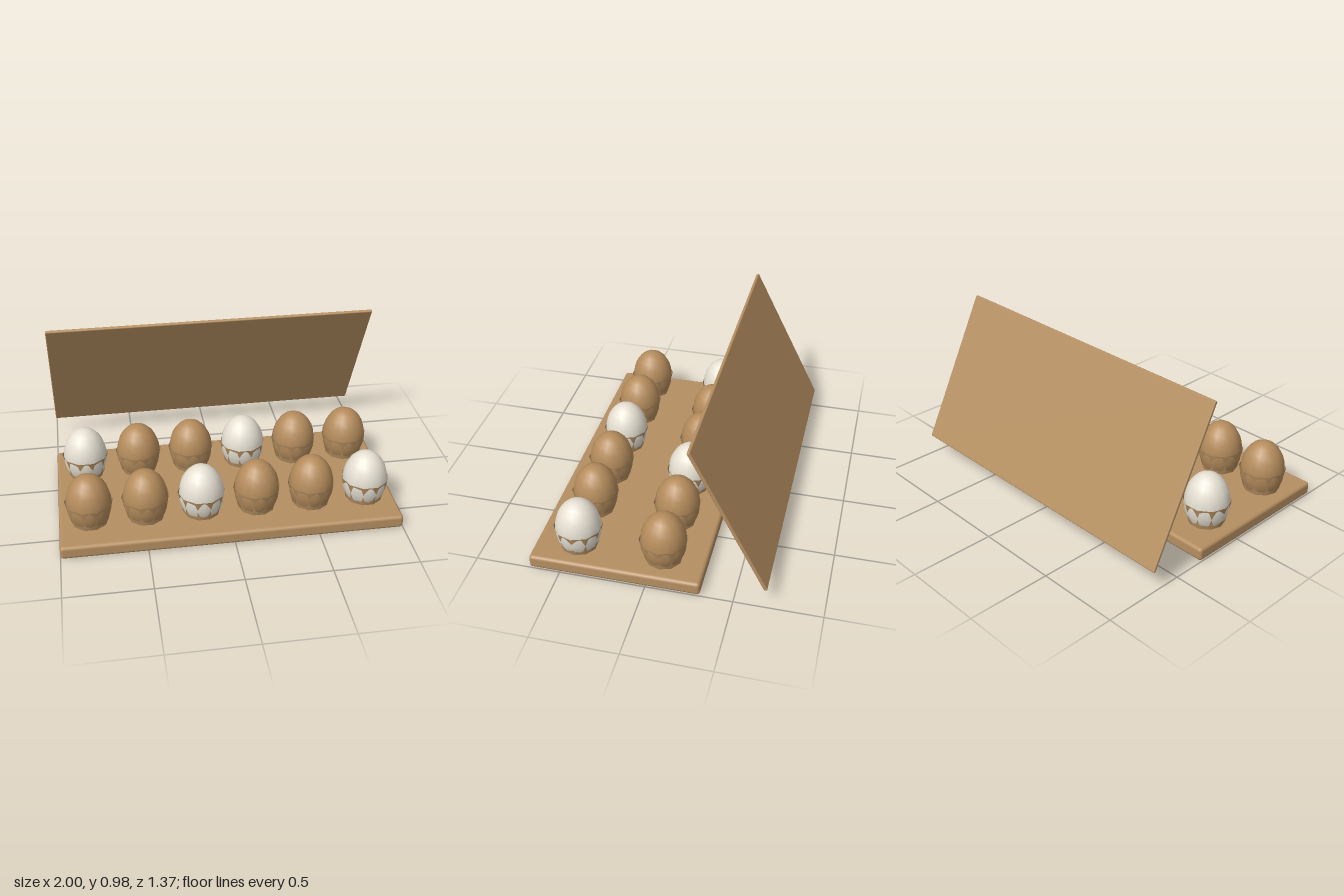
import * as THREE from 'three';
import { RoundedBoxGeometry } from 'three/addons/geometries/RoundedBoxGeometry.js';

export function createModel() {
  const carton = new THREE.MeshStandardMaterial({ name: 'cardboard', color: 0xb58f61 });
  const cupCard = new THREE.MeshStandardMaterial({ name: 'cup cardboard', color: 0xb58f61, side: THREE.DoubleSide });
  const brown = new THREE.MeshStandardMaterial({ name: 'brown shell', color: 0xb58c5c });
  const white = new THREE.MeshStandardMaterial({ name: 'white shell', color: 0xece6d8 });

  const model = new THREE.Group();
  model.name = 'eggCarton';
  const add = (name, geometry, material, x, y, z) => {
    const mesh = new THREE.Mesh(geometry, material);
    mesh.name = name;
    mesh.position.set(x, y, z);
    model.add(mesh);
    return mesh;
  };

  // Base tray and the lid leaning open behind it
  add('tray', new RoundedBoxGeometry(2, 0.08, 0.995, 2, 0.02), carton, 0, 0.04, 0.185);
  const lid = add('lid', new RoundedBoxGeometry(2, 0.957, 0.02, 2, 0.007), carton, 0, 0.55, -0.461);
  lid.rotation.x = 0.47;

  // Ten-sided open cup with a flat facing front, and a tall egg that bulges through its flats
  const cupShape = new THREE.CylinderGeometry(0.14, 0.108, 0.145, 10, 1, true);
  cupShape.rotateY(Math.PI / 10);
  const eggShape = new THREE.SphereGeometry(0.133, 16, 12);
  eggShape.scale(1, 0.185 / 0.133, 1);

  // Two rows of six; the listed columns hold white eggs
  const rows = [
    { z: -0.065, whites: [0, 3] },
    { z: 0.435, whites: [2, 5] },
  ];
  for (const { z, whites } of rows) {
    for (let i = 0; i < 6; i++) {
      const x = (i - 2.5) * 0.328;
      add('cup', cupShape, cupCard, x, 0.1475, z);
      add('egg', eggShape, whites.includes(i) ? white : brown, x, 0.205, z);
    }
  }
  return model;
}
